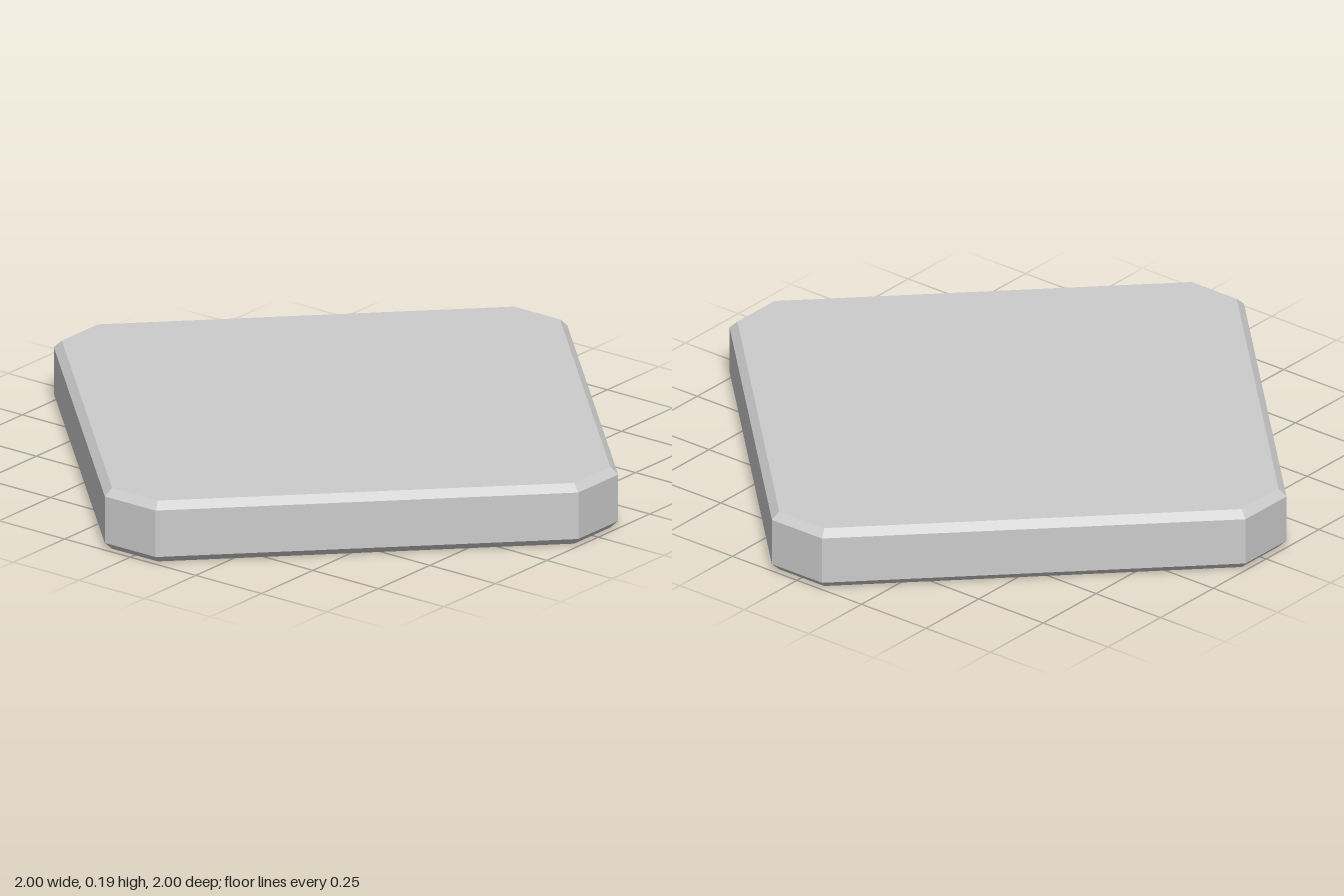
import * as THREE from 'three';

const HEIGHT = 0.195, CHAMFER = 0.023, HALF_FACET = 0.097;
const SLOT = { radius: 0.8, length: 0.2, width: 0.055, depth: 0.1 };

// Diamond with clipped corners, moved inwards evenly by inset
function outline(inset) {
  const r = 1 - inset;
  const h = HALF_FACET - inset * Math.tan(Math.PI / 8);
  const points = [];
  for (let k = 0; k < 4; k++) {
    for (const s of [-1, 1]) {
      points.push(new THREE.Vector2(r, s * h).rotateAround(new THREE.Vector2(), k * Math.PI / 2));
    }
  }
  return points;
}

// Chamfered rim, joined from four outlines
function rimGeometry() {
  const rings = [[0, CHAMFER], [CHAMFER, 0], [HEIGHT - CHAMFER, 0], [HEIGHT, CHAMFER]]
    .map(([y, inset]) => outline(inset).map((p) => [p.x, y, -p.y]));
  const positions = [];
  for (let i = 0; i < 3; i++) {
    for (let j = 0; j < 8; j++) {
      const n = (j + 1) % 8;
      const a = rings[i][j], b = rings[i][n], c = rings[i + 1][n], d = rings[i + 1][j];
      positions.push(...a, ...b, ...c, ...a, ...c, ...d);
    }
  }
  const geometry = new THREE.BufferGeometry();
  geometry.setAttribute('position', new THREE.Float32BufferAttribute(positions, 3));
  geometry.computeVertexNormals();
  return geometry;
}

// Rectangular slot opening pointing outwards at quarter turn k
function slotHole(k) {
  const l = SLOT.length / 2, w = SLOT.width / 2;
  const corners = [[-l, -w], [-l, w], [l, w], [l, -w]];
  return new THREE.Path(corners.map(([x, y]) =>
    new THREE.Vector2(SLOT.radius + x, y).rotateAround(new THREE.Vector2(), k * Math.PI / 2)));
}

export function createModel() {
  const group = new THREE.Group();
  group.name = 'plate';
  const material = new THREE.MeshStandardMaterial({ color: 0xcccccc, flatShading: true });
  const pocketMaterial = material.clone();
  pocketMaterial.side = THREE.DoubleSide;

  const add = (name, geometry, mat = material) => {
    const mesh = new THREE.Mesh(geometry, mat);
    mesh.name = name;
    group.add(mesh);
    return mesh;
  };

  add('rim', rimGeometry());

  // Flat top
  const top = new THREE.ShapeGeometry(new THREE.Shape(outline(CHAMFER)));
  add('topFace', top.rotateX(-Math.PI / 2).translate(0, HEIGHT, 0));

  // Underside with a slot at each corner
  const underside = new THREE.Shape(outline(CHAMFER));
  for (let k = 0; k < 4; k++) underside.holes.push(slotHole(k));
  add('underside', new THREE.ShapeGeometry(underside).rotateX(Math.PI / 2));

  // Blind slot pockets: boxes without their lower face
  const pocket = new THREE.BoxGeometry(SLOT.length, SLOT.depth, SLOT.width);
  const index = Array.from(pocket.index.array);
  index.splice(18, 6);
  pocket.setIndex(index);
  pocket.clearGroups();
  pocket.translate(SLOT.radius, SLOT.depth / 2, 0);
  for (let k = 0; k < 4; k++) {
    add('slotPocket' + (k + 1), pocket, pocketMaterial).rotation.y = k * Math.PI / 2;
  }
  return group;
}
